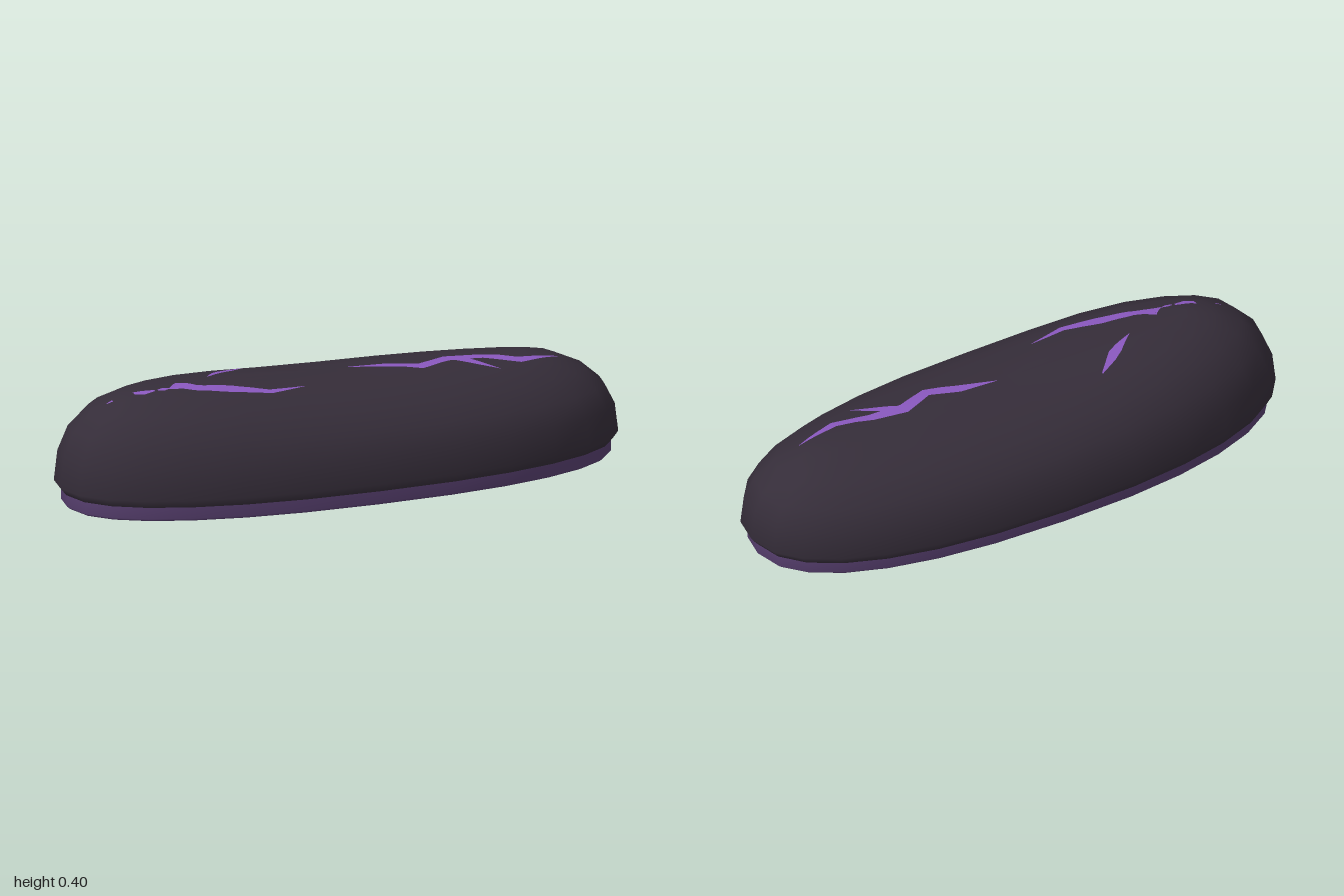
import * as THREE from 'three';

const SEG = 28, POW = 0.86, HALF_DEPTH = 0.385;
const mat = (color) => new THREE.MeshStandardMaterial({ color });
const pow = (v) => Math.sign(v) * Math.pow(Math.abs(v), POW);

// Gentle hump on the right end, slight sag in the middle and on the left end
function lean(x) {
  if (x < 0) return THREE.MathUtils.lerp(-0.008, 0.018, THREE.MathUtils.smoothstep(-x, 0, 0.62));
  return THREE.MathUtils.lerp(-0.008, -0.015, Math.min(1, x / 0.6));
}

// Stacks superellipse rings [x radius, z radius, y] from bottom to top; a repeated ring makes a crease
function stackRings(rings, leanFrom = Infinity) {
  const pos = [], index = [];
  rings.forEach(([rx, rz, y]) => {
    for (let j = 0; j < SEG; j++) {
      const a = (j / SEG) * Math.PI * 2;
      const x = rx * pow(Math.cos(a));
      const k = y > leanFrom ? Math.min(1, (y - leanFrom) / 0.15) : 0;
      pos.push(x, y + k * lean(x), rz * HALF_DEPTH * pow(Math.sin(a)));
    }
  });
  for (let i = 0; i < rings.length - 1; i++) {
    for (let j = 0; j < SEG; j++) {
      const a = i * SEG + j, b = i * SEG + (j + 1) % SEG;
      index.push(a, a + SEG, b, b, a + SEG, b + SEG);
    }
  }
  const geo = new THREE.BufferGeometry();
  geo.setAttribute('position', new THREE.Float32BufferAttribute(pos, 3));
  geo.setIndex(index);
  geo.computeVertexNormals();
  return geo;
}

// Ribbon laid on the body; each point is [x, z of back edge, z of front edge]
function crackGeometry(points, body) {
  const ray = new THREE.Raycaster(), down = new THREE.Vector3(0, -1, 0);
  const pos = [], index = [], STEPS = 4, ACROSS = 2;
  const drop = (x, z) => {
    ray.set(new THREE.Vector3(x, 2, z), down);
    const hit = ray.intersectObject(body)[0];
    pos.push(x, (hit ? hit.point.y : 0.36) + 0.003, z);
  };
  const total = (points.length - 1) * STEPS;
  for (let s = 0; s <= total; s++) {
    const i = Math.min(points.length - 2, Math.floor(s / STEPS)), t = s / STEPS - i;
    const [x, z0, z1] = points[i].map((v, k) => THREE.MathUtils.lerp(v, points[i + 1][k], t));
    for (let c = 0; c <= ACROSS; c++) drop(x, THREE.MathUtils.lerp(z0, z1, c / ACROSS));
  }
  const row = ACROSS + 1;
  for (let s = 0; s < total; s++) {
    for (let c = 0; c < ACROSS; c++) {
      const a = s * row + c;
      index.push(a, a + 1, a + row, a + 1, a + row + 1, a + row);
    }
  }
  const geo = new THREE.BufferGeometry();
  geo.setAttribute('position', new THREE.Float32BufferAttribute(pos, 3));
  geo.setIndex(index);
  geo.computeVertexNormals();
  return geo;
}

export function createModel() {
  const group = new THREE.Group();
  const add = (name, geo, material) => {
    const mesh = new THREE.Mesh(geo, material);
    mesh.name = name;
    group.add(mesh);
    return mesh;
  };

  // Dark domed stone with an overhanging rim
  const body = add('stoneBody', stackRings([
    [0, 0, 0.05], [0.98, 0.98, 0.05], [0.98, 0.98, 0.05],
    [1, 1, 0.075], [0.988, 0.975, 0.175], [0.955, 0.865, 0.25],
    [0.885, 0.71, 0.315], [0.79, 0.47, 0.358], [0.68, 0.17, 0.38], [0, 0, 0.38],
  ], 0.15), mat(0x352d39));
  body.updateMatrixWorld(true);

  // Purple base plate, inset under the stone
  add('basePlate', stackRings([
    [0, 0, 0], [0.965, 0.935, 0], [0.965, 0.935, 0],
    [0.975, 0.947, 0.008], [0.975, 0.947, 0.055],
  ]), mat(0x584070));

  // Glowing cracks across the top
  const crackMat = mat(0x8a58bf);
  crackMat.side = THREE.DoubleSide;
  const cracks = {
    longCrack: [[0.04, -0.005, -0.005], [0.18, 0.005, 0.045], [0.28, 0.045, 0.087], [0.39, -0.002, 0.047],
      [0.51, 0.018, 0.054], [0.63, 0.064, 0.1], [0.78, 0.053, 0.056]],
    crackBranch: [[0.4, 0.03, 0.045], [0.46, 0.045, 0.085], [0.54, 0.135, 0.137]],
    curvedCrack: [[-0.63, 0.055, 0.06], [-0.59, 0.02, 0.07], [-0.53, 0.062, 0.1], [-0.42, 0.085, 0.135],
      [-0.3, 0.135, 0.162], [-0.17, 0.128, 0.13]],
    backCrack: [[-0.46, -0.022, -0.02], [-0.39, -0.085, -0.05], [-0.35, -0.112, -0.07], [-0.28, -0.147, -0.142]],
    innerChip: [[-0.67, 0.05, 0.055], [-0.65, 0.046, 0.063], [-0.63, 0.053, 0.057]],
    middleChip: [[-0.75, 0.025, 0.045], [-0.72, 0.035, 0.06], [-0.68, 0.045, 0.055]],
    outerChip: [[-0.84, 0.015, 0.018], [-0.82, 0.014, 0.024]],
  };
  for (const [name, pts] of Object.entries(cracks)) add(name, crackGeometry(pts, body), crackMat);

  return group;
}
